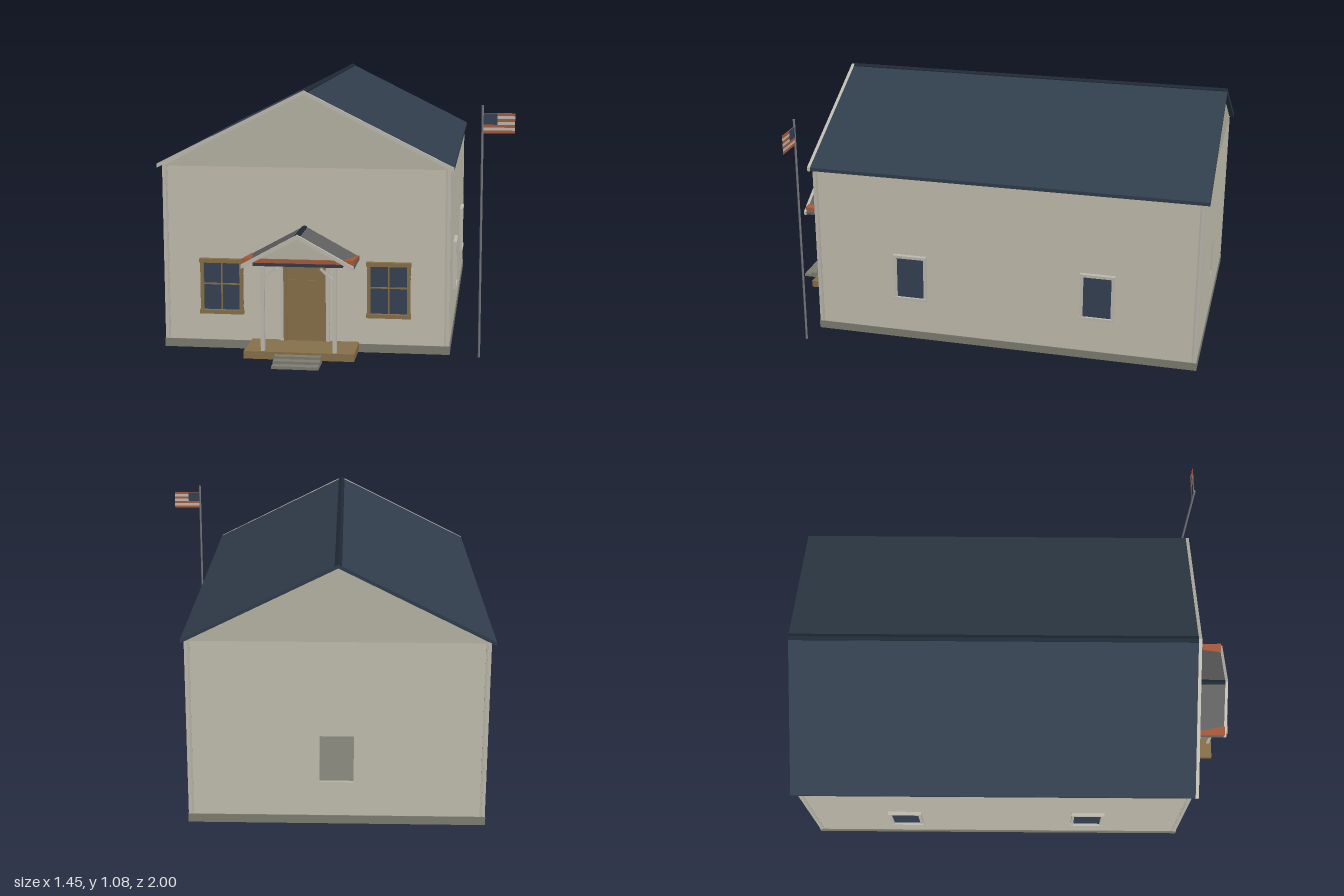
import * as THREE from 'three';

const mat = (name, color) => {
  const m = new THREE.MeshStandardMaterial({ color });
  m.name = name;
  return m;
};

export function createModel() {
  const model = new THREE.Group();
  model.name = 'gabledHall';
  const wall = mat('wallPaint', 0xb6b3a4);
  const trim = mat('trimPaint', 0xbdbab0);
  const stone = mat('foundationStone', 0x7e7d72);
  const roof = mat('roofShingle', 0x303d4b);
  const ridge = mat('ridgeCap', 0x1f2933);
  const glass = mat('windowGlass', 0x354153);
  const wood = mat('brownWood', 0x86704a);
  const porchGrey = mat('porchShingle', 0x5f5f60);
  const rust = mat('rustRed', 0xa85a3c);
  const metal = mat('poleMetal', 0x74757a);

  const CX = -0.12, X0 = -0.71, X1 = 0.475, Z0 = -0.98, Z1 = 0.72;
  const ROWS = 26, BASE = 0.035, PITCH = 0.0283;
  const rowY = (i) => BASE + i * PITCH;

  const add = (name, geo, m, parent = model) => {
    const mesh = new THREE.Mesh(geo, m);
    mesh.name = name;
    parent.add(mesh);
    return mesh;
  };
  const box = (name, m, x0, x1, y0, y1, z0, z1, parent) => {
    const g = new THREE.BoxGeometry(x1 - x0, y1 - y0, z1 - z0);
    g.translate((x0 + x1) / 2, (y0 + y1) / 2, (z0 + z1) / 2);
    return add(name, g, m, parent);
  };
  // Flat outline extruded from z0 to z1
  const prism = (name, m, pts, z0, z1) => {
    const shape = new THREE.Shape(pts.map(([x, y]) => new THREE.Vector2(x, y)));
    const g = new THREE.ExtrudeGeometry(shape, { depth: z1 - z0, bevelEnabled: false });
    g.translate(0, 0, z0);
    return add(name, g, m);
  };
  // Two-pitch slab centred on the ridge line
  const chevron = (name, m, half, eave, peak, t, z0, z1) => prism(name, m, [
    [CX - half, eave], [CX - half, eave - t], [CX, peak - t],
    [CX + half, eave - t], [CX + half, eave], [CX, peak]], z0, z1);

  // Lapped boards: sawtooth profile run along the wall
  const siding = (name, len, x, z, turn, r0 = 0, r1 = ROWS) => {
    const pts = [[-0.02, rowY(r0)]];
    for (let i = r0; i < r1; i++) pts.push([0, rowY(i)], [-0.005, rowY(i + 1)]);
    pts.push([-0.02, rowY(r1)]);
    const mesh = prism(name, wall, pts, -len / 2, len / 2);
    mesh.rotation.y = turn;
    mesh.position.set(x, 0, z);
  };

  // Foundation and walls, with an opening in the back wall
  box('foundation', stone, X0 - 0.003, X1 + 0.003, 0, BASE, Z0 - 0.003, Z1 + 0.003);
  siding('frontWall', X1 - X0, (X0 + X1) / 2, Z1, -Math.PI / 2);
  siding('leftWall', Z1 - Z0, X1, (Z0 + Z1) / 2, 0);
  siding('rightWall', Z1 - Z0, X0, (Z0 + Z1) / 2, Math.PI);
  const H0 = -0.185, H1 = -0.05;
  siding('backWall', H0 - X0, (X0 + H0) / 2, Z0, Math.PI / 2);
  siding('backWall', X1 - H1, (X1 + H1) / 2, Z0, Math.PI / 2);
  siding('backWallBelowOpening', H1 - H0, (H0 + H1) / 2, Z0, Math.PI / 2, 0, 5);
  siding('backWallAboveOpening', H1 - H0, (H0 + H1) / 2, Z0, Math.PI / 2, 12);
  for (const x of [X0 - 0.001, X1 - 0.013])
    for (const z of [Z0 - 0.001, Z1 - 0.013])
      box('cornerBoard', trim, x, x + 0.014, BASE, 0.77, z, z + 0.014);

  // Gables and main roof
  const gable = [[X0, 0.765], [X1, 0.765], [CX + 0.02, 1.06], [CX - 0.02, 1.06]];
  prism('frontGable', wall, gable, Z1 - 0.02, Z1);
  prism('backGable', wall, gable, Z0, Z0 + 0.02);
  chevron('mainRoof', roof, 0.608, 0.776, 1.078, 0.015, -1, 0.727);
  chevron('bargeBoard', trim, 0.608, 0.776, 1.08, 0.017, 0.727, 0.741);
  chevron('ridgeCap', ridge, 0.014, 1.0755, 1.0825, 0.004, -1, 0.727);

  // Front windows
  for (const s of [-1, 1]) {
    const c = CX + s * 0.347;
    const g = new THREE.Group();
    g.name = 'frontWindow';
    model.add(g);
    box('glass', glass, c - 0.078, c + 0.078, 0.165, 0.365, 0.715, 0.724, g);
    for (const k of [-1, 1])
      box('sideCasing', wood, c + k * 0.082 - 0.007, c + k * 0.082 + 0.007, 0.16, 0.37, 0.715, 0.734, g);
    box('head', wood, c - 0.092, c + 0.092, 0.365, 0.382, 0.715, 0.739, g);
    box('sill', wood, c - 0.092, c + 0.092, 0.15, 0.166, 0.715, 0.742, g);
    box('mullion', wood, c - 0.003, c + 0.003, 0.165, 0.365, 0.72, 0.729, g);
    box('glazingBar', wood, c - 0.078, c + 0.078, 0.272, 0.278, 0.72, 0.728, g);
  }

  // Side windows
  for (const s of [-1, 1]) for (const z of [0.285, -0.547]) {
    const g = new THREE.Group();
    g.name = 'sideWindow';
    g.position.set(CX + (s > 0 ? 0.595 : -0.59), 0, z);
    g.rotation.y = s * Math.PI / 2;
    model.add(g);
    box('glass', glass, -0.064, 0.064, 0.2, 0.39, -0.005, 0.004, g);
    for (const k of [-1, 1])
      box('sideCasing', trim, k * 0.067 - 0.006, k * 0.067 + 0.006, 0.19, 0.4, -0.005, 0.012, g);
    box('head', trim, -0.075, 0.075, 0.389, 0.401, -0.005, 0.015, g);
    box('sill', trim, -0.075, 0.075, 0.189, 0.201, -0.005, 0.015, g);
  }

  // Door
  box('door', wood, -0.194, -0.046, 0.043, 0.352, 0.715, 0.726);
  box('doorPanel', wood, -0.185, -0.055, 0.075, 0.3, 0.724, 0.73);
  box('doorHead', wood, -0.21, -0.03, 0.352, 0.368, 0.715, 0.74);
  for (const s of [-1, 1]) {
    const c = CX + s * 0.081;
    box('doorJamb', wood, c - 0.007, c + 0.007, 0.043, 0.355, 0.715, 0.735);
  }

  // Porch floor, steps, posts and braces
  box('porchFloor', wood, -0.343, 0.105, 0.012, 0.043, 0.72, 0.908);
  [[0.034, 0.935], [0.023, 0.967], [0.012, 1]].forEach(([y, z], i) =>
    box('step', stone, -0.214, -0.026, i === 0 ? 0.012 : 0, y, 0.895, z));
  for (const s of [-1, 1]) {
    const c = CX + s * 0.146, w = CX + s * 0.095;
    box('porchPost', trim, c - 0.008, c + 0.008, 0.043, 0.4, 0.883, 0.899);
    box('wallPost', trim, w - 0.007, w + 0.007, 0.043, 0.395, 0.715, 0.734);
    const brace = add('porchBrace', new THREE.BoxGeometry(0.075, 0.01, 0.01), trim);
    brace.position.set(CX + s * 0.115, 0.36, 0.891);
    brace.rotation.z = -s * Math.PI / 4;
  }

  // Porch roof: tilted rust canopy under a small gable
  const canopy = prism('porchCanopy', rust,
    [[0.72, 0.394], [0.92, 0.41], [0.92, 0.426], [0.72, 0.406]], -0.105, 0.343);
  canopy.rotation.y = -Math.PI / 2;
  box('porchFascia', roof, -0.3, 0.06, 0.395, 0.408, 0.88, 0.912);
  prism('porchGable', wall, [[-0.29, 0.415], [0.05, 0.415], [CX, 0.51]], 0.895, 0.907);
  chevron('porchRoof', porchGrey, 0.225, 0.402, 0.525, 0.013, 0.715, 0.917);
  chevron('porchBargeBoard', trim, 0.225, 0.403, 0.527, 0.017, 0.917, 0.93);
  chevron('porchRidgeCap', ridge, 0.011, 0.5225, 0.5285, 0.004, 0.722, 0.917);

  // Flagpole with striped banner
  const pole = add('flagpole', new THREE.CylinderGeometry(0.005, 0.005, 1.03, 10), metal);
  pole.position.set(0.598, 0.515, 0.741);
  for (let i = 0; i < 7; i++) {
    const y = 0.918 + i * 0.0115;
    box('bannerStripe', i % 2 ? trim : rust, 0.602, 0.726, y, y + 0.0115, 0.7395, 0.7425);
  }
  box('bannerCorner', glass, 0.602, 0.656, 0.9525, 0.997, 0.7385, 0.7435);

  return model;
}
